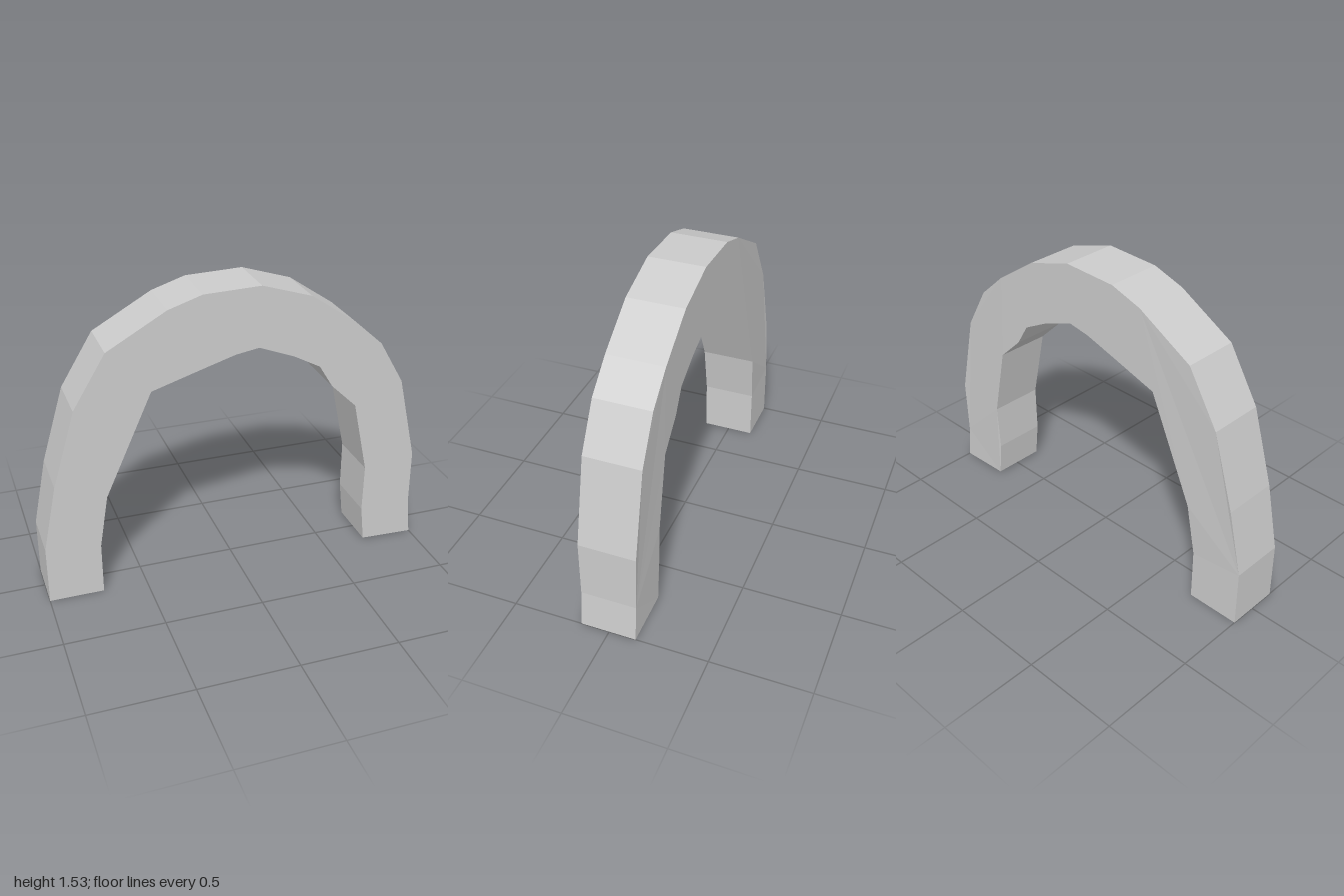
import * as THREE from 'three';

export function createModel() {
  const group = new THREE.Group();
  group.name = 'arch';

  // Outer edge, from the foot at -x over the crown to the foot at +x
  const outer = [
    [-1, 0], [-1, 0.3], [-0.93, 0.64], [-0.815, 1.025], [-0.65, 1.295],
    [-0.35, 1.465], [-0.18, 1.52], [0.11, 1.53], [0.365, 1.45], [0.6, 1.29],
    [0.75, 1.155], [0.88, 0.93], [0.98, 0.49], [0.98, 0.19], [1, 0],
  ];
  // Inner edge, back from the foot at +x to the foot at -x
  const inner = [
    [0.72, 0.01], [0.7, 0.2], [0.705, 0.45], [0.625, 0.83], [0.49, 0.96],
    [0.42, 1.075], [0.28, 1.15], [0.1, 1.22], [-0.02, 1.2], [-0.2, 1.145],
    [-0.44, 1.07], [-0.68, 0.54], [-0.725, 0.27], [-0.725, 0],
  ];
  const shape = new THREE.Shape([...outer, ...inner].map(([x, y]) => new THREE.Vector2(x, y)));

  const halfDepth = 0.144;
  const geometry = new THREE.ExtrudeGeometry(shape, { depth: halfDepth * 2, bevelEnabled: false });
  geometry.translate(0, 0, -halfDepth);

  // The back of both feet is slightly thinner
  const pos = geometry.attributes.position;
  for (let i = 0; i < pos.count; i++) {
    if (pos.getZ(i) < 0 && pos.getY(i) < 0.35) pos.setZ(i, -0.136);
  }
  geometry.computeVertexNormals();

  const arch = new THREE.Mesh(
    geometry,
    new THREE.MeshStandardMaterial({ color: 0xcccccc, flatShading: true }),
  );
  arch.name = 'archBody';
  group.add(arch);
  return group;
}
